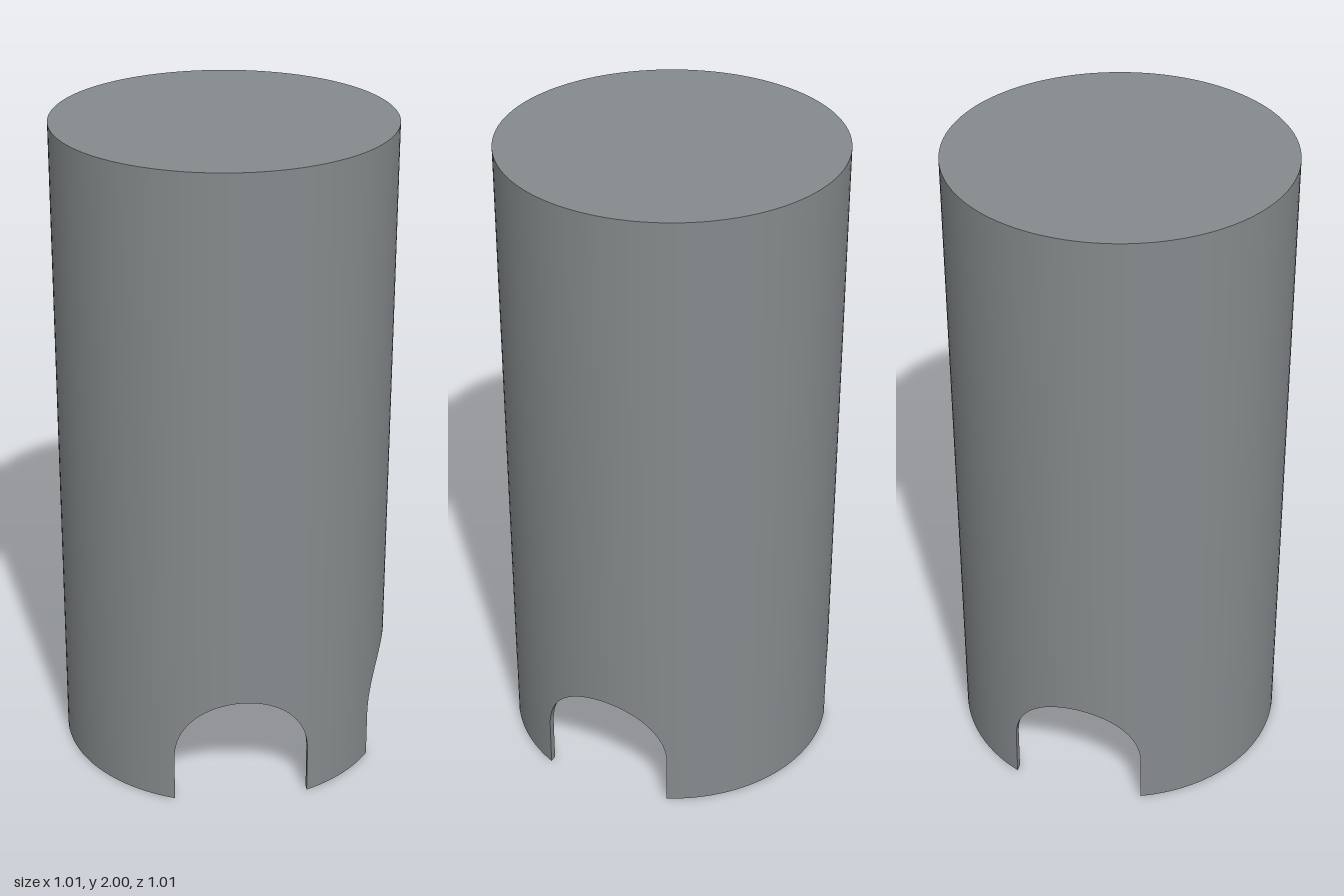
import * as THREE from 'three';
import { toCreasedNormals } from 'three/addons/utils/BufferGeometryUtils.js';

const OUTER = 0.505, INNER = 0.484, HEIGHT = 2, CEILING = 1.98;
const ARCH = { half: 0.203, spring: 0.148 };
const CENTRES = [-47, 32.7, 183.7].map(THREE.MathUtils.degToRad);

// Columns around the wall: outer angle a, inner angle b, lower edge y
function wallColumns() {
  const cols = [];
  const edge = (c, u, r) => c + Math.asin((ARCH.half * u) / r);
  CENTRES.forEach((c, i) => {
    const at = (u, y) => ({ a: edge(c, u, OUTER), b: edge(c, u, INNER), y });
    // arched opening with straight, parallel jambs
    cols.push(at(-1, 0));
    for (let k = 0; k <= 32; k++) {
      const t = (Math.PI * k) / 32;
      cols.push(at(-Math.cos(t), ARCH.spring + ARCH.half * Math.sin(t)));
    }
    const start = at(1, 0);
    cols.push(start);
    // solid wall up to the next opening
    const next = i < 2 ? CENTRES[i + 1] : CENTRES[0] + 2 * Math.PI;
    const endA = edge(next, -1, OUTER), endB = edge(next, -1, INNER);
    const n = Math.ceil((endA - start.a) / 0.05);
    for (let k = 1; k < n; k++) {
      cols.push({
        a: THREE.MathUtils.lerp(start.a, endA, k / n),
        b: THREE.MathUtils.lerp(start.b, endB, k / n),
        y: 0,
      });
    }
  });
  cols.push({ a: cols[0].a + 2 * Math.PI, b: cols[0].b + 2 * Math.PI, y: 0 });
  return cols;
}

const polar = (r, a, y) => [r * Math.cos(a), y, r * Math.sin(a)];

// Makes a mesh from the faces given by a rule for each pair of columns
function buildMesh(name, material, cols, rule) {
  const pos = [];
  for (let i = 0; i + 1 < cols.length; i++) {
    const face = rule(cols[i], cols[i + 1]);
    if (!face) continue;
    for (let k = 1; k + 1 < face.length; k++) pos.push(...face[0], ...face[k], ...face[k + 1]);
  }
  let geo = new THREE.BufferGeometry();
  geo.setAttribute('position', new THREE.Float32BufferAttribute(pos, 3));
  geo = toCreasedNormals(geo, 0.6);
  const mesh = new THREE.Mesh(geo, material);
  mesh.name = name;
  return mesh;
}

export function createModel() {
  const group = new THREE.Group();
  group.name = 'notchedCap';
  const grey = new THREE.MeshStandardMaterial({ color: 0x858a8c });
  grey.name = 'grey';
  const cols = wallColumns();
  const add = (name, rule) => group.add(buildMesh(name, grey, cols, rule));
  const same = (p, q) => Math.abs(p.a - q.a) < 1e-6;

  add('outerWall', (p, q) => !same(p, q) && [
    polar(OUTER, p.a, p.y), polar(OUTER, p.a, HEIGHT),
    polar(OUTER, q.a, HEIGHT), polar(OUTER, q.a, q.y)]);
  add('innerWall', (p, q) => !same(p, q) && [
    polar(INNER, q.b, q.y), polar(INNER, q.b, CEILING),
    polar(INNER, p.b, CEILING), polar(INNER, p.b, p.y)]);
  // lower rim, including the thickness of the arches
  add('lowerRim', (p, q) => [
    polar(OUTER, p.a, p.y), polar(OUTER, q.a, q.y),
    polar(INNER, q.b, q.y), polar(INNER, p.b, p.y)]);
  // closed top and the ceiling under it
  add('topFace', (p, q) => !same(p, q) && [
    [0, HEIGHT, 0], polar(OUTER, q.a, HEIGHT), polar(OUTER, p.a, HEIGHT)]);
  add('ceiling', (p, q) => !same(p, q) && [
    [0, CEILING, 0], polar(INNER, p.b, CEILING), polar(INNER, q.b, CEILING)]);
  return group;
}
